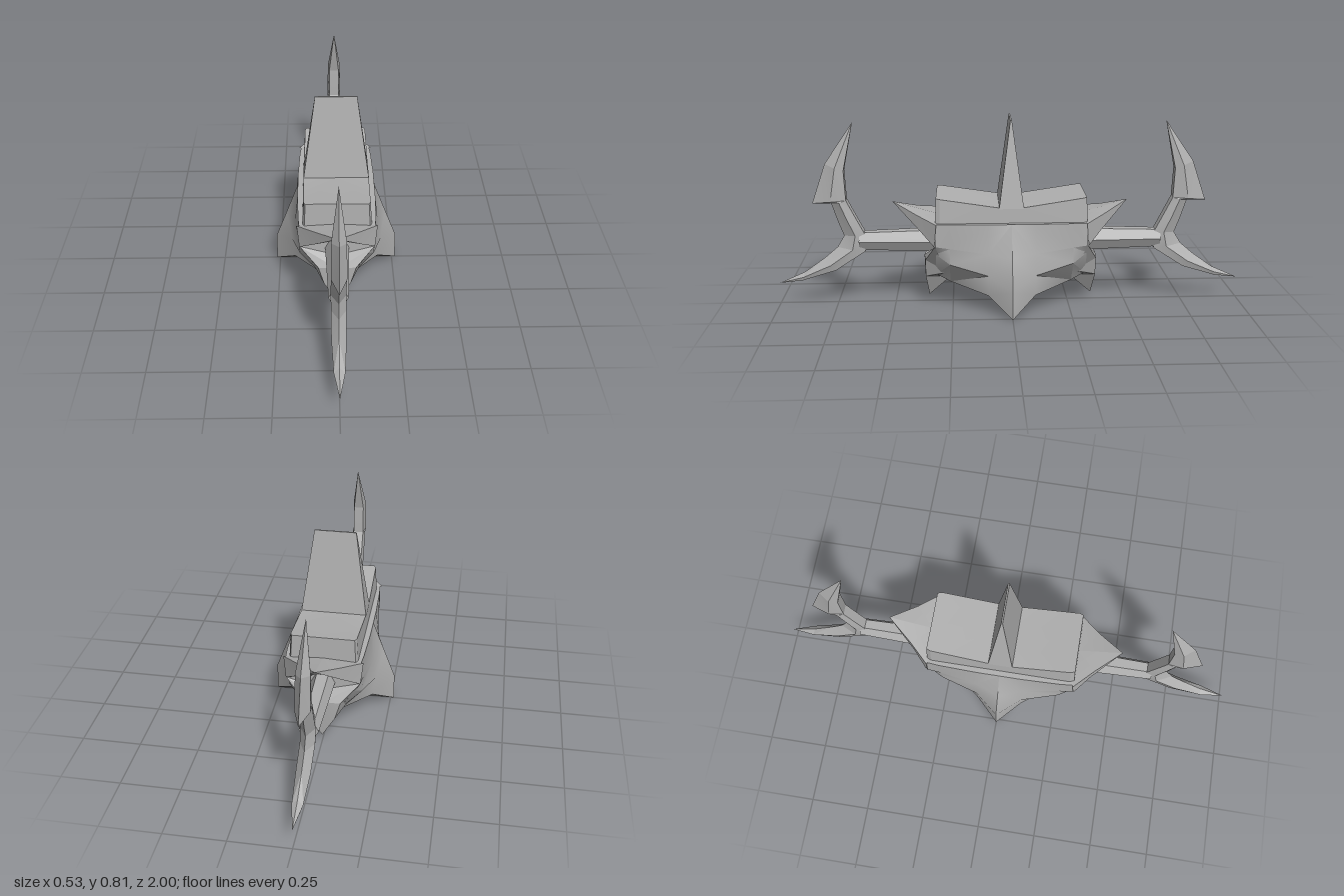
import * as THREE from 'three';
import { toCreasedNormals } from 'three/addons/utils/BufferGeometryUtils.js';

const steel = new THREE.MeshStandardMaterial({ color: 0xb0b0b0 });
steel.name = 'steel grey';

// Turns the polygons of one quarter (+x, +z) into a mesh mirrored across x and z.
// With a centre given, every polygon is turned to face away from it.
function mirrored(name, polygons, crease, centre) {
  const out = [];
  const add = (a, b, c) => {
    const n = b.clone().sub(a).cross(c.clone().sub(a));
    if (n.length() < 1e-7) return;
    if (centre && n.dot(a.clone().add(b).add(c).divideScalar(3).sub(centre)) < 0) [b, c] = [c, b];
    for (const sx of [1, -1]) for (const sz of [1, -1]) {
      const order = sx * sz > 0 ? [a, b, c] : [a, c, b];
      for (const p of order) out.push(p.x * sx, p.y, p.z * sz);
    }
  };
  for (const poly of polygons) {
    const v = poly.map((p) => new THREE.Vector3(...p));
    for (let i = 1; i < v.length - 1; i++) add(v[0], v[i], v[i + 1]);
  }
  const g = new THREE.BufferGeometry();
  g.setAttribute('position', new THREE.Float32BufferAttribute(out, 3));
  const mesh = new THREE.Mesh(toCreasedNormals(g, crease), steel);
  mesh.name = name;
  return mesh;
}

// Quads between successive cross-sections
function loft(rows) {
  const polys = [];
  for (let i = 0; i < rows.length - 1; i++)
    for (let j = 0; j < rows[i].length - 1; j++)
      polys.push([rows[i][j], rows[i + 1][j], rows[i + 1][j + 1], rows[i][j + 1]]);
  return polys;
}

// Hull: sections run from the rim down to the keel
function hull() {
  const sections = [
    [0, [[0.165, 0.385], [0.215, 0.25], [0.264, 0.12], [0.264, 0], [0, 0]]],
    [0.1, [[0.165, 0.385], [0.178, 0.26], [0.192, 0.17], [0.18, 0.08], [0, 0.08]]],
    [0.26, [[0.16, 0.385], [0.158, 0.28], [0.155, 0.21], [0.07, 0.11], [0, 0.11]]],
    [0.32, [[0.155, 0.385], [0.155, 0.288], [0.13, 0.25], [0.06, 0.14], [0, 0.14]]],
  ];
  const rows = sections.map(([z, pts]) => pts.map(([x, y]) => [x, y, z]));
  const polys = loft(rows);
  polys.push([[0, 0.385, 0.32], ...rows[3].slice().reverse()]);
  for (let i = 0; i < 3; i++) {
    const a = rows[i][0], b = rows[i + 1][0];
    polys.push([[0, a[1], a[2]], [0, b[1], b[2]], b, a]);
  }
  return mirrored('hull', polys, 0.55);
}

// Raised beak above each axle
function upperBeak() {
  const rim = [0.165, 0.385, 0.315], corner = [0.155, 0.288, 0.325];
  const top = [0.085, 0.41, 0.4], low = [0.095, 0.342, 0.385], tip = [0, 0.45, 0.505];
  const roof = [0, 0.395, 0.315], under = [0, 0.315, 0.32];
  return mirrored('upperBeaks', [
    [rim, top, roof], [top, tip, roof],
    [rim, corner, low, top], [top, low, tip],
    [corner, low, under], [low, tip, under],
  ], 0.2, new THREE.Vector3(0, 0.375, 0.35));
}

// Downward fang below each axle
function lowerFang() {
  const corner = [0.155, 0.288, 0.322], p = [0.078, 0.21, 0.365], q = [0.055, 0.13, 0.366];
  const tip = [0, 0.03, 0.353], ridge = [0, 0.21, 0.372], seat = [0, 0.245, 0.325];
  const back = [0.1, 0.16, 0.27], keel = [0, 0.11, 0.26];
  return mirrored('lowerFangs', [
    [corner, p, ridge, seat], [p, q, ridge], [q, tip, ridge],
    [corner, p, back], [p, q, back], [q, back, keel], [q, tip, keel],
  ], 0.2, new THREE.Vector3(0, 0.17, 0.32));
}

// Deck block, sloping down to the middle
function deck() {
  const rows = [[0, 0.138, 0.45], [0.05, 0.138, 0.45], [0.3, 0.135, 0.488], [0.316, 0.128, 0.49]]
    .map(([z, x, y], i) => [[0, y, z], [x, y, z], [i === 3 ? 0.134 : 0.142, 0.38, i === 3 ? 0.32 : z]]);
  const polys = loft(rows);
  polys.push([...rows[3], [0, 0.38, 0.32]]);
  return mirrored('deck', polys, 0.2, new THREE.Vector3(0, 0.41, 0.15));
}

// Tall wedge fin in the middle of the deck
function fin() {
  const t = [0.087, 0.81, 0.003], b = [0.139, 0.445, 0.052];
  return mirrored('fin', [
    [[0, t[1], t[2]], t, b, [0, b[1], b[2]]],
    [[t[0], t[1], 0], t, b, [b[0], b[1], 0]],
    [[0, t[1], 0], [t[0], t[1], 0], t, [0, t[1], t[2]]],
  ], 0.2, new THREE.Vector3(0, 0.5, 0));
}

// Hooked blades: each row is outer edge z, y, inner edge z, y, half thickness
function blades() {
  const rows = [
    [0.663, 0.793, 0.663, 0.793, 0],
    [0.786, 0.615, 0.706, 0.588, 0.029],
    [0.845, 0.444, 0.7, 0.465, 0.03],
    [0.765, 0.444, 0.7, 0.46, 0.03],
    [0.738, 0.36, 0.665, 0.39, 0.03],
    [0.715, 0.3, 0.624, 0.31, 0.03],
    [0.745, 0.25, 0.624, 0.235, 0.03],
    [0.8, 0.203, 0.754, 0.15, 0.029],
    [0.888, 0.14, 0.9, 0.105, 0.022],
    [1, 0.09, 1, 0.09, 0],
  ].map(([oz, oy, iz, iy, w]) => {
    const at = (t, x) => [x, oy + (iy - oy) * t, oz + (iz - oz) * t];
    return [at(0, 0), at(0.55, w), at(1, w * 0.75), at(1, 0)];
  });
  return mirrored('hookBlades', loft(rows), 0.2);
}

// Six-sided tapering axle
function axle(side) {
  const g = new THREE.CylinderGeometry(0.041, 0.053, 0.36, 6).rotateY(Math.PI / 2).rotateX(Math.PI / 2);
  g.scale(0.95, 1.05, 1).translate(0, 0.279, 0.47);
  if (side < 0) g.rotateY(Math.PI);
  const mesh = new THREE.Mesh(toCreasedNormals(g, 0.2), steel);
  mesh.name = side > 0 ? 'frontAxle' : 'backAxle';
  return mesh;
}

export function createModel() {
  const model = new THREE.Group();
  model.name = 'hookedCraft';
  model.add(hull(), upperBeak(), lowerFang(), deck(), fin(), blades(), axle(1), axle(-1));
  return model;
}
